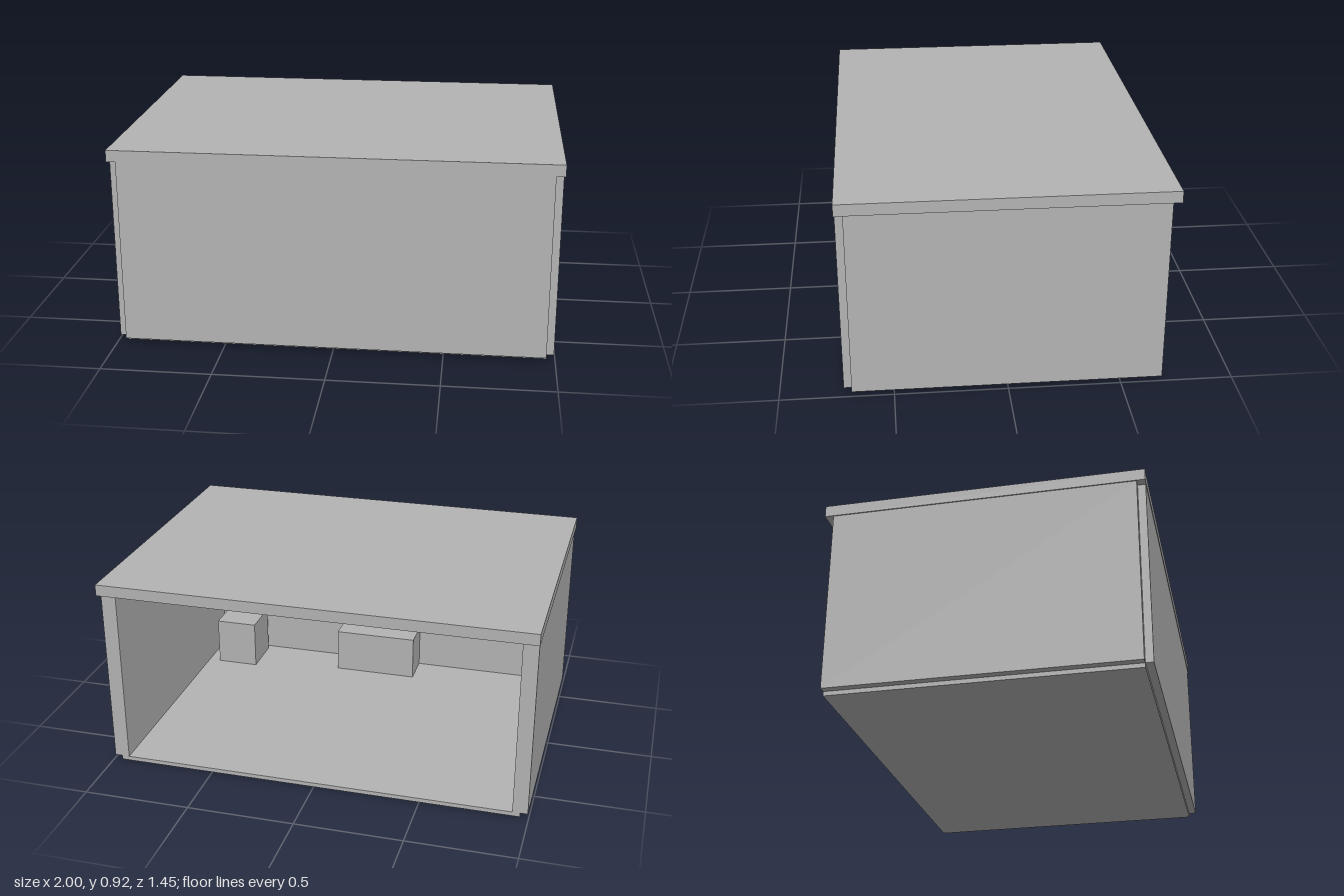
import * as THREE from 'three';

export function createModel() {
  const model = new THREE.Group();
  model.name = 'openBackCabinet';
  const grey = new THREE.MeshStandardMaterial({ color: 0xb3b3b3 });
  grey.name = 'plainGrey';

  // Box given by its extents on each axis
  function block(name, [x0, x1], [y0, y1], [z0, z1]) {
    const mesh = new THREE.Mesh(new THREE.BoxGeometry(x1 - x0, y1 - y0, z1 - z0), grey);
    mesh.position.set((x0 + x1) / 2, (y0 + y1) / 2, (z0 + z1) / 2);
    mesh.name = name;
    model.add(mesh);
  }

  // Overhanging lid and thin floor plate
  block('lid', [-1, 1], [0.87, 0.923], [-0.723, 0.723]);
  block('floor', [-0.96, 0.96], [0, 0.02], [-0.685, 0.685]);

  // Walls overlap at the front corners, leaving a small notch outside
  block('frontWall', [-0.96, 0.96], [0.02, 0.87], [0.65, 0.72]);
  block('leftWall', [0.925, 0.995], [0.02, 0.87], [-0.685, 0.685]);
  block('rightWall', [-0.995, -0.925], [0.02, 0.87], [-0.685, 0.685]);

  // Blocks standing on the floor inside, near the front wall
  block('smallInnerBlock', [0.656, 0.866], [0.02, 0.26], [0.4, 0.62]);
  block('wideInnerBlock', [-0.21, 0.207], [0.02, 0.24], [0.48, 0.65]);

  return model;
}
